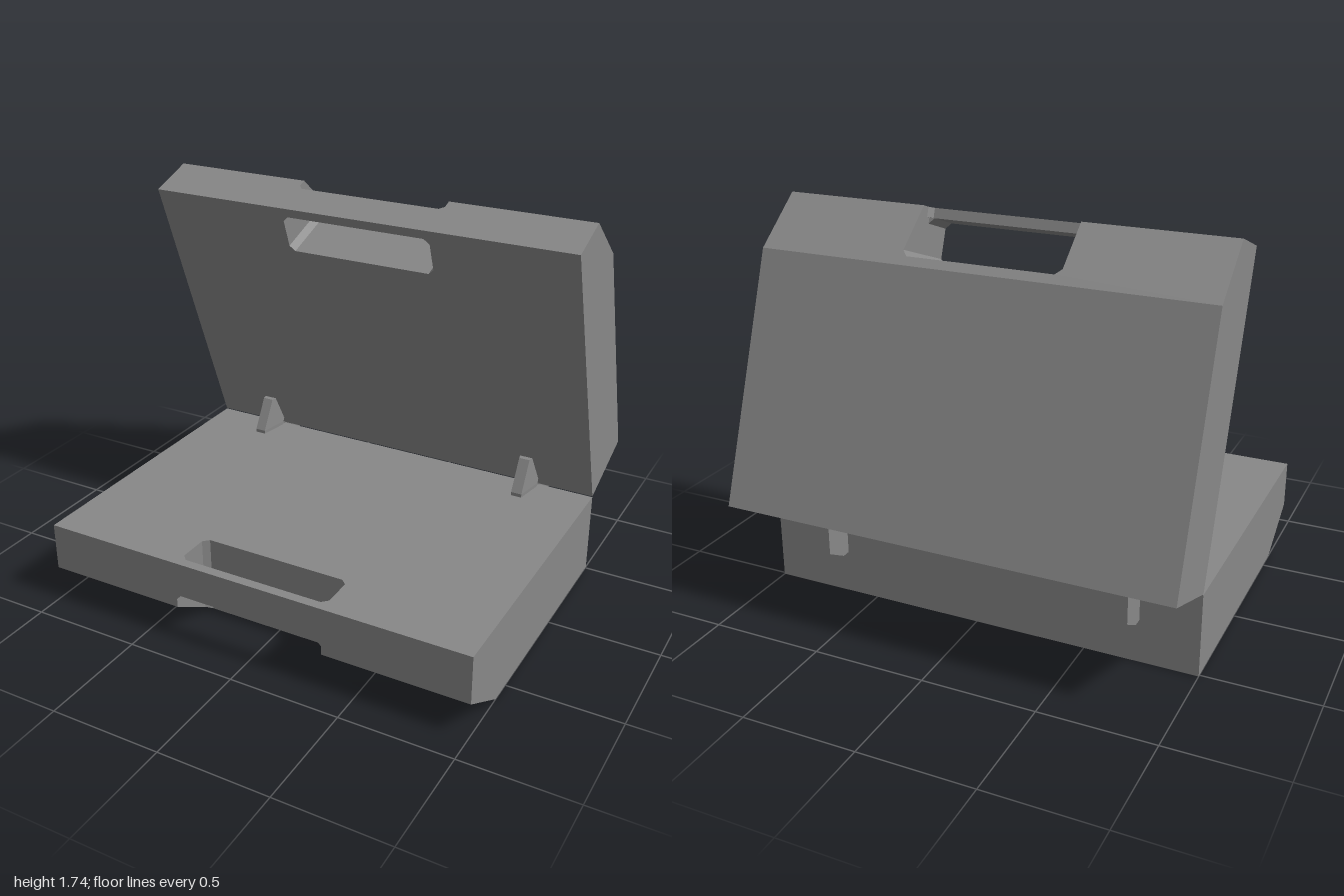
import * as THREE from 'three';

const material = new THREE.MeshStandardMaterial({ color: 0x888888, flatShading: true });

// Case half, measured from the hinge edge: x sideways, z away from the hinge, y = -depth
const LENGTH = 1.373, DEPTH = 0.374, BAR = 0.157;
const SLOPE_START = 1.11, SLOPE = 0.157 / (LENGTH - SLOPE_START);
const HOLE = { x: 0.35, near: 1.149, far: 1.33, cut: 0.025 };
const HINGE_Z = -0.51, HINGE_WIDTH = 0.1;

const points = (list) => list.map(([x, y]) => new THREE.Vector2(x, y));

function addMesh(group, name, geometry) {
  geometry.computeVertexNormals();
  const mesh = new THREE.Mesh(geometry, material);
  mesh.name = name;
  group.add(mesh);
}

// Extrude a plan outline (x, z) downwards from one depth to another
function slab(shape, from, to) {
  const geometry = new THREE.ExtrudeGeometry(shape, { depth: to - from, bevelEnabled: false });
  return geometry.translate(0, 0, from).rotateX(Math.PI / 2);
}

// Extrude a side profile (z, y) across x, centred on x = 0
function sideways(profile, width) {
  const shape = new THREE.Shape(points(profile.map(([z, y]) => [-z, y])));
  const geometry = new THREE.ExtrudeGeometry(shape, { depth: width, bevelEnabled: false });
  return geometry.translate(0, 0, -width / 2).rotateY(Math.PI / 2);
}

function caseHalf(name) {
  const group = new THREE.Group();
  group.name = name;
  const { x, near, far, cut } = HOLE;

  // Inner layer: full plan with the clipped-corner grip hole, leaving the handle bar
  const plan = new THREE.Shape(points([[-1, 0], [1, 0], [1, LENGTH], [-1, LENGTH]]));
  plan.holes.push(new THREE.Path(points([
    [-x + cut, near], [-x, near + cut], [-x, far - cut], [-x + cut, far],
    [x - cut, far], [x, far - cut], [x, near + cut], [x - cut, near],
  ])));
  addMesh(group, 'innerShell', slab(plan, 0, BAR));

  // Outer layer: flat part
  const flat = new THREE.Shape(points([[-1, 0], [1, 0], [1, SLOPE_START], [-1, SLOPE_START]]));
  addMesh(group, 'outerShell', slab(flat, BAR, DEPTH));

  // Outer layer: sloped end, open in the middle for the fingers
  const arms = new THREE.Shape(points([
    [-1, SLOPE_START], [1, SLOPE_START], [1, LENGTH], [x, LENGTH], [x, near + cut], [x - cut, near],
    [-x + cut, near], [-x, near + cut], [-x, LENGTH], [-1, LENGTH],
  ]));
  const sloped = slab(arms, BAR, DEPTH);
  const p = sloped.attributes.position;
  for (let i = 0; i < p.count; i++) {
    if (p.getY(i) < -DEPTH + 0.001) p.setY(i, -DEPTH + (p.getZ(i) - SLOPE_START) * SLOPE);
  }
  addMesh(group, 'slopedEnd', sloped);

  // Small fillets where the handle bar meets the sides
  for (const s of [-1, 1]) {
    const corner = new THREE.Shape(points([[s * x, -BAR], [s * x, -BAR - 0.02], [s * (x - 0.02), -BAR]]));
    const fillet = new THREE.ExtrudeGeometry(corner, { depth: LENGTH - far, bevelEnabled: false });
    addMesh(group, 'handleFillet', fillet.translate(0, 0, far));
  }
  return group;
}

function hinge(x) {
  const group = new THREE.Group();
  group.name = 'hinge';
  group.position.x = x;

  // Square-sided block behind the case
  addMesh(group, 'hingeBlock', sideways([
    [-0.655, 0.255], [-0.55, 0.195], [-0.5, 0.195], [-0.5, 0.36], [-0.52, 0.41], [-0.655, 0.45],
  ], HINGE_WIDTH));

  // Nose inside the case: a short upright part and a leaning part, narrowing to the front
  const nose = [[-0.35, 0.3], [-0.35, 0.39], [-0.43, 0.53]];
  const taper = 0.14;
  for (let k = 0; k < 2; k++) {
    const [[z0, y0], [z1, y1]] = [nose[k], nose[k + 1]];
    const geometry = sideways([[z0, y0], [z1, y1], [z1 - taper, y1], [z0 - taper, y0]], HINGE_WIDTH);
    const p = geometry.attributes.position;
    for (let i = 0; i < p.count; i++) {
      if (p.getZ(i) > -0.44) p.setX(i, p.getX(i) * 0.5);
    }
    addMesh(group, 'hingeNose', geometry);
  }
  return group;
}

export function createModel() {
  const model = new THREE.Group();
  model.name = 'openCase';

  const base = caseHalf('base');
  base.position.set(0, DEPTH, HINGE_Z);
  model.add(base);

  // The lid is the same half turned over and swung open
  const lid = caseHalf('lid');
  lid.position.set(0, DEPTH + 0.004, HINGE_Z);
  lid.rotation.set(THREE.MathUtils.degToRad(-70), 0, Math.PI);
  model.add(lid);

  for (const x of [-0.69, 0.69]) model.add(hinge(x));
  return model;
}
